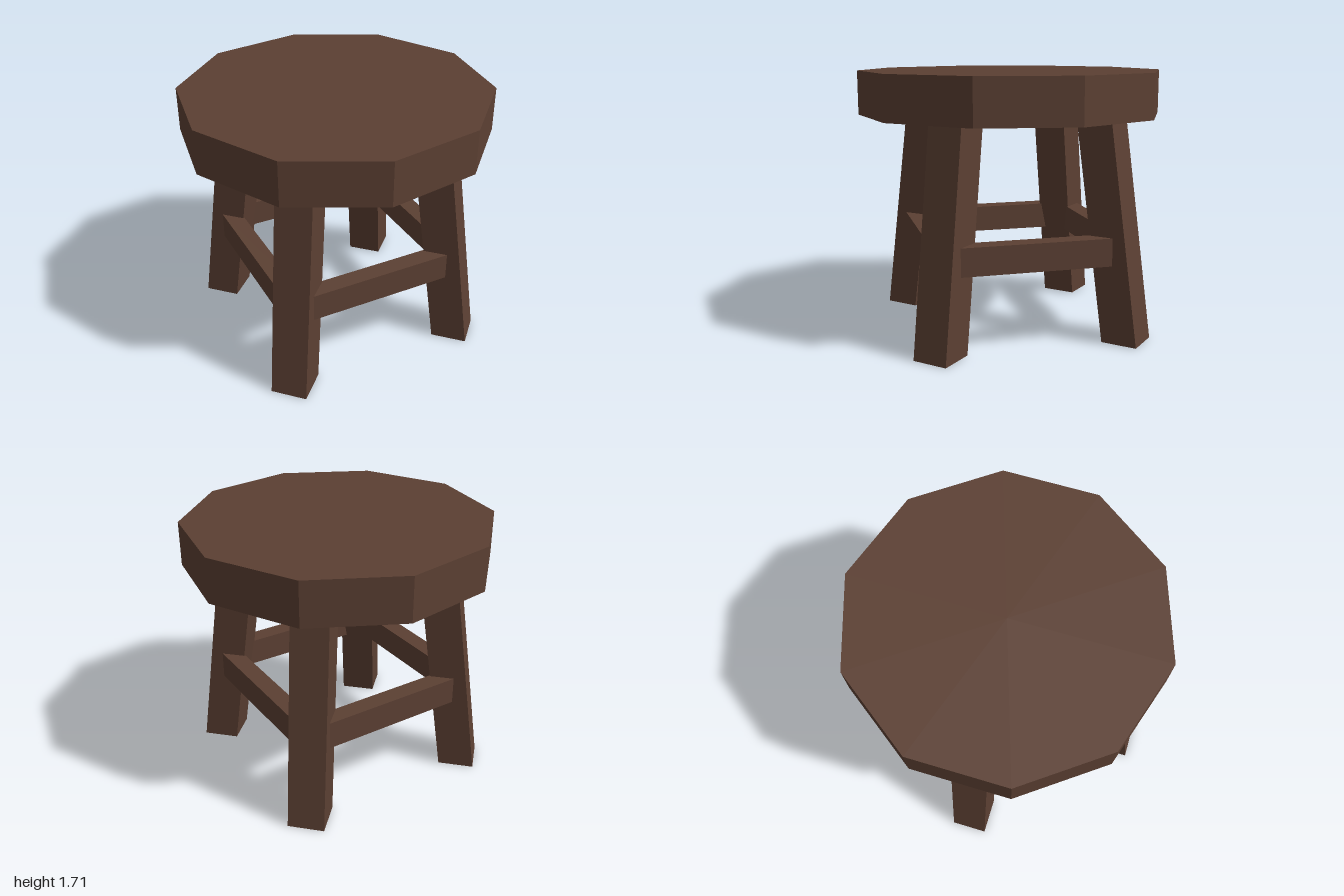
import * as THREE from 'three';

const SEAT_BOTTOM = 1.425, SEAT_TOP = 1.71;
const LEG_WIDTH = 0.235, LEG_FOOT = 0.855, LEG_HEAD = 0.657;

export function createModel() {
  const stool = new THREE.Group();
  stool.name = 'stool';
  const wood = new THREE.MeshStandardMaterial({ color: 0x5c4033, flatShading: true });
  wood.name = 'dark wood';

  const add = (name, geometry, parent) => {
    const mesh = new THREE.Mesh(geometry, wood);
    mesh.name = name;
    parent.add(mesh);
    return mesh;
  };

  // Ten-sided seat with a corner at front and back
  const seat = add('seat', new THREE.CylinderGeometry(1, 1, SEAT_TOP - SEAT_BOTTOM, 10), stool);
  seat.position.y = (SEAT_TOP + SEAT_BOTTOM) / 2;

  // Leg: a box sheared outwards, so that foot and head stay level
  const legGeometry = new THREE.BoxGeometry(LEG_WIDTH, SEAT_BOTTOM, LEG_WIDTH);
  legGeometry.translate(0, SEAT_BOTTOM / 2, 0);
  const p = legGeometry.attributes.position;
  for (let i = 0; i < p.count; i++) {
    p.setZ(i, p.getZ(i) + THREE.MathUtils.lerp(LEG_FOOT, LEG_HEAD, p.getY(i) / SEAT_BOTTOM));
  }
  legGeometry.computeVertexNormals();

  // Rung between two neighbouring legs
  const rungGeometry = new THREE.BoxGeometry(0.97, 0.18, 0.12);
  rungGeometry.translate(0, 0.6, 0.588);

  // Four legs on the axes, four rungs on the diagonals
  ['front', 'left', 'back', 'right'].forEach((side, i) => {
    add(side + 'Leg', legGeometry, stool).rotation.y = i * Math.PI / 2;
    add(side + 'Rung', rungGeometry, stool).rotation.y = (i + 0.5) * Math.PI / 2;
  });

  return stool;
}
